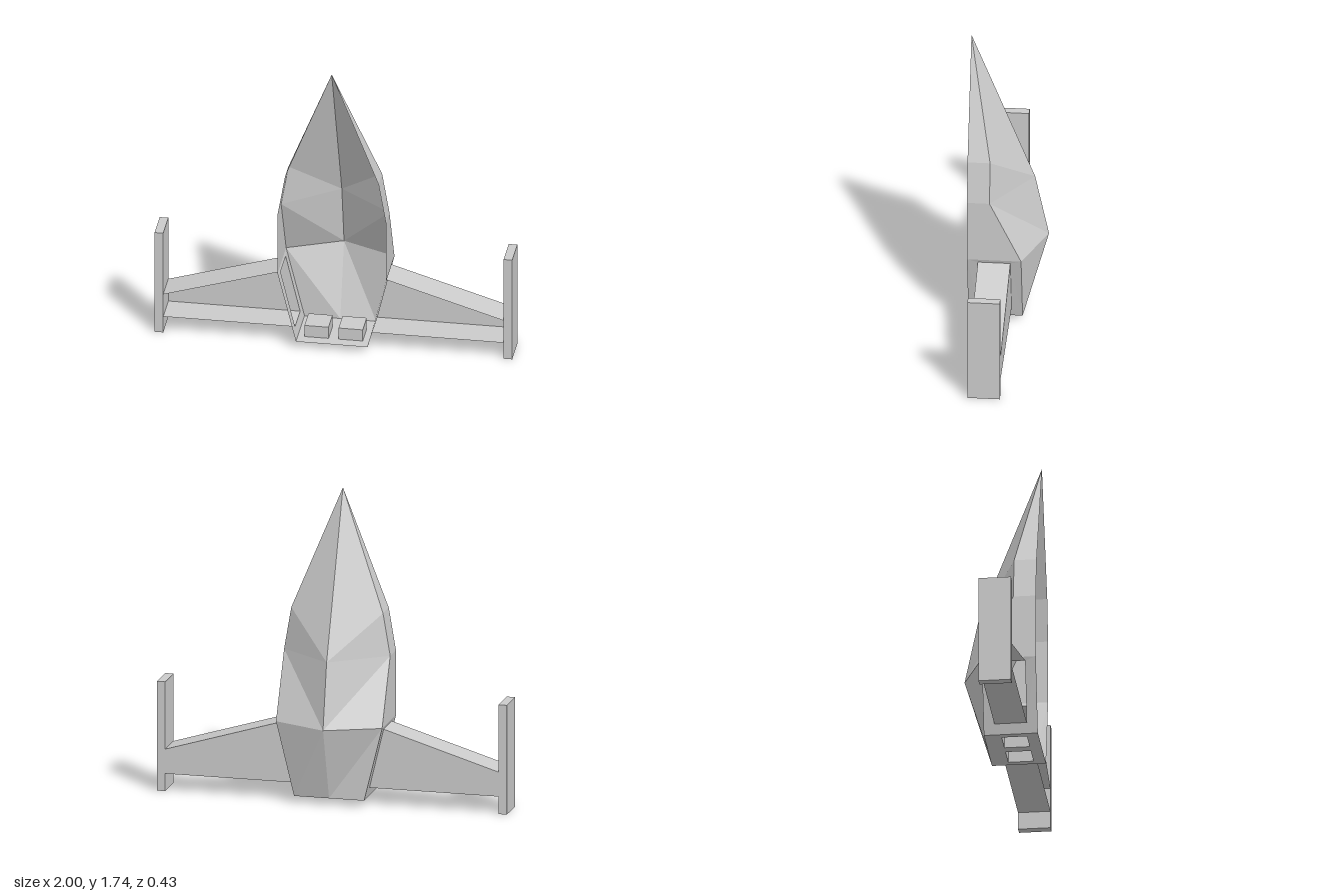
import * as THREE from 'three';

const material = new THREE.MeshStandardMaterial({ color: 0xcccccc, flatShading: true, side: THREE.DoubleSide });

// Flat panels from polygons (3 or 4 corners, counter-clockwise from outside).
// side = -1 mirrors them across x and keeps them facing outward.
function panels(name, polygons, side = 1) {
  const positions = [];
  for (const polygon of polygons) {
    const p = side < 0 ? [...polygon].reverse() : polygon;
    // a reversed quad is rolled so that it still splits on the same diagonal
    const q = side < 0 && p.length === 4 ? [p[3], p[0], p[1], p[2]] : p;
    for (let i = 1; i < q.length - 1; i++) {
      for (const [x, y, z] of [q[0], q[i], q[i + 1]]) positions.push(x * side, y, z);
    }
  }
  const geometry = new THREE.BufferGeometry();
  geometry.setAttribute('position', new THREE.Float32BufferAttribute(positions, 3));
  geometry.computeVertexNormals();
  const mesh = new THREE.Mesh(geometry, material);
  mesh.name = name;
  return mesh;
}

// Quads joining two loops of corners
const bridge = (a, b) => a.map((p, i) => {
  const j = (i + 1) % a.length;
  return [p, a[j], b[j], b[i]];
});

export function createModel() {
  const group = new THREE.Group();
  const front = 0.215;
  const floorY = 0.04;

  // Hull stations: the side crease and the central back ridge
  const nose = [0, 1.74, front];
  const crease = [[0.262, 1.07, 0.09], [0.303, 0.83, 0.09], [0.303, 0.46, -0.085], [0.2, floorY, -0.085]];
  const ridge = [[0, 0.83, -0.138], [0, 0.46, -0.215], [0, floorY, -0.085]];
  const rim = crease.map(([x, y]) => [x, y, front]);

  // Wing section where it leaves the hull, and at the tip
  const zFront = 0.155, zBack = -0.025, tipX = 0.952;
  const section = (x1, y1, x0, y0) => [[x1, y1, zFront], [x0, y0, zFront], [x0, y0, zBack], [x1, y1, zBack]];
  const root = section(0.296, 0.44, 0.215, 0.1);
  const tip = section(tipX, 0.24, tipX, 0.1);

  for (const side of [1, -1]) {
    const label = side > 0 ? 'left' : 'right';

    // Faceted back of the hull
    group.add(panels(label + 'HullBack', [
      [nose, crease[0], ridge[0]],
      [crease[0], crease[1], ridge[0]],
      [ridge[1], ridge[0], crease[1]],
      [ridge[1], crease[1], crease[2]],
      ...(side > 0
        ? [[ridge[1], crease[2], crease[3]], [ridge[1], crease[3], ridge[2]]]
        : [[crease[2], crease[3], ridge[2]], [crease[2], ridge[2], ridge[1]]]),
    ], side));

    // Side walls; the lowest one is a frame around the wing opening
    const wallLoop = [rim[2], rim[3], crease[3], crease[2]];
    group.add(panels(label + 'HullSide', [
      [nose, rim[0], crease[0]],
      [rim[0], rim[1], crease[1], crease[0]],
      [rim[1], rim[2], crease[2], crease[1]],
      ...bridge(wallLoop, root),
    ], side));

    // Wing channel, open to the front
    group.add(panels(label + 'Wing', bridge(root, tip).slice(1), side));

    // Upright fin on the wing tip
    const fin = new THREE.Mesh(new THREE.BoxGeometry(1 - tipX, 0.625, zFront - zBack), material);
    fin.position.set(side * (1 + tipX) / 2, 0.3125, (zFront + zBack) / 2);
    fin.name = label + 'Fin';
    group.add(fin);

    // Engine well, sunk upward into the floor
    const well = (y) => [[0.028, y, 0.15], [0.163, y, 0.15], [0.163, y, 0.01], [0.028, y, 0.01]];
    group.add(panels(label + 'EngineWell', [...bridge(well(floorY), well(0.11)), well(0.11)], side));
  }

  // Hull floor with the two well openings
  const rectangle = (Type, x0, x1, z0, z1) => new Type([[x0, z0], [x1, z0], [x1, z1], [x0, z1]].map((p) => new THREE.Vector2(...p)));
  const floorShape = rectangle(THREE.Shape, -0.2, 0.2, -0.085, front);
  floorShape.holes.push(
    rectangle(THREE.Path, 0.028, 0.163, 0.01, 0.15),
    rectangle(THREE.Path, -0.163, -0.028, 0.01, 0.15),
  );
  const floor = new THREE.Mesh(new THREE.ShapeGeometry(floorShape).rotateX(Math.PI / 2), material);
  floor.position.y = floorY;
  floor.name = 'hullFloor';
  group.add(floor);

  return group;
}
